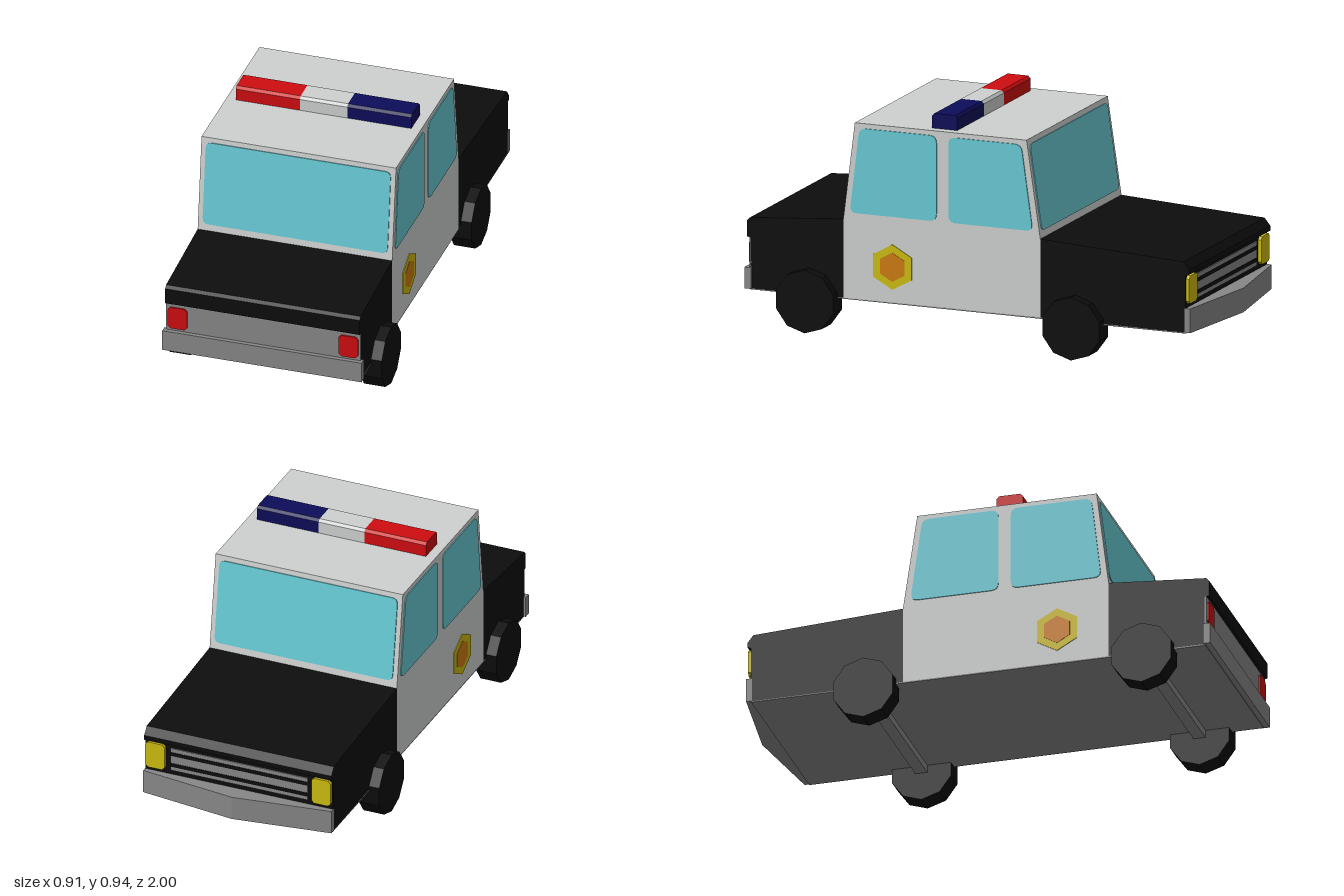
import * as THREE from 'three';

const paint = (name, color) => {
  const m = new THREE.MeshStandardMaterial({ color });
  m.name = name;
  return m;
};

// Closed polygon whose corners are cut back by r and rounded
function roundedPoly(points, r = 0) {
  const shape = new THREE.Shape();
  const pts = points.map(([a, b]) => new THREE.Vector2(a, b));
  pts.forEach((p, i) => {
    const prev = pts[(i + pts.length - 1) % pts.length];
    const next = pts[(i + 1) % pts.length];
    const a = p.clone().add(prev.clone().sub(p).setLength(r));
    const b = p.clone().add(next.clone().sub(p).setLength(r));
    if (i === 0) shape.moveTo(a.x, a.y); else shape.lineTo(a.x, a.y);
    if (r > 0) shape.quadraticCurveTo(p.x, p.y, b.x, b.y);
  });
  shape.closePath();
  return shape;
}

const rect = (w, h) => [[-w / 2, -h / 2], [w / 2, -h / 2], [w / 2, h / 2], [-w / 2, h / 2]];

// Slab facing z, centred on its thickness
function plate(points, depth, r = 0, curveSegments = 4) {
  const g = new THREE.ExtrudeGeometry(roundedPoly(points, r), { depth, bevelEnabled: false, curveSegments });
  return g.translate(0, 0, -depth / 2);
}

// Slab from a side profile of [z, y] points, extruded across x
const sideSlab = (points, width, r = 0) => plate(points, width, r).rotateY(-Math.PI / 2);

export function createModel() {
  const car = new THREE.Group();
  car.name = 'patrolCar';

  const white = paint('whitePaint', 0xcfd1d1);
  const black = paint('blackPaint', 0x0d0d0d);
  const grey = paint('greyMetal', 0x888888);
  const glass = paint('cyanGlass', 0x68cbd5);
  const red = paint('redLamp', 0xd00d10);
  const blue = paint('blueLamp', 0x0d0d5a);
  const yellow = paint('yellow', 0xcdbc10);
  const orange = paint('orange', 0xcd7c10);

  const add = (name, geometry, material, x = 0, y = 0, z = 0) => {
    const mesh = new THREE.Mesh(geometry, material);
    mesh.name = name;
    mesh.position.set(x, y, z);
    car.add(mesh);
    return mesh;
  };
  const box = (name, material, w, h, d, x, y, z) =>
    add(name, new THREE.BoxGeometry(w, h, d), material, x, y, z);

  // Body: white cabin between two black ends, each with an overhanging lip
  const W = 0.82;
  add('cabin', sideSlab([[0.57, 0.145], [0.57, 0.47], [0.52, 0.872], [-0.23, 0.872], [-0.29, 0.47], [-0.29, 0.145]], W), white);
  add('frontDeck', sideSlab([[0.57, 0.145], [0.975, 0.145], [0.975, 0.355], [0.99, 0.358],
    [0.99, 0.425], [0.978, 0.437], [0.57, 0.47]], W), black);
  add('rearDeck', sideSlab([[-0.29, 0.145], [-0.29, 0.47], [-0.915, 0.436], [-0.94, 0.405],
    [-0.94, 0.385], [-0.925, 0.38], [-0.925, 0.145]], W), black);
  box('underside', grey, W, 0.006, 1.9, 0, 0.144, 0.025);

  // Front end: grey panel with red corner lamps
  box('frontPanel', grey, W, 0.21, 0.008, 0, 0.25, 0.976);
  // Rear end: slatted grille with yellow corner lamps
  box('grille', grey, 0.6, 0.1, 0.008, 0, 0.315, -0.926);
  for (const y of [0.29, 0.34]) box('grilleSlat', black, 0.6, 0.016, 0.006, 0, y, -0.929);
  for (const s of [-1, 1]) {
    add('redCornerLamp', plate(rect(0.082, 0.096), 0.009, 0.012, 1), red, s * 0.36, 0.292, 0.982);
    add('yellowCornerLamp', plate(rect(0.085, 0.115), 0.016, 0.012, 1), yellow, s * 0.364, 0.32, -0.931);
  }

  // Bumpers: a straight one in front, a pointed one behind
  box('frontBumper', grey, 0.84, 0.088, 0.03, 0, 0.189, 0.983);
  const pointed = plate([[-0.412, 0.92], [0.412, 0.92], [0.412, 0.945], [0, 1], [-0.412, 0.945]], 0.1);
  add('rearBumper', pointed.rotateX(-Math.PI / 2), grey, 0, 0.195, 0);

  // Windscreens lying on the sloped ends of the cabin
  const screen = plate(rect(0.78, 0.355), 0.008, 0.025);
  add('frontWindscreen', screen, glass, 0, 0.675, 0.5447).rotation.x = -Math.atan(0.05 / 0.402);
  add('rearWindscreen', screen, glass, 0, 0.675, -0.2596).rotation.x = Math.atan(0.06 / 0.402);

  // Side windows and hexagonal badges
  const windowA = sideSlab([[0.162, 0.5], [0.54, 0.5], [0.499, 0.852], [0.162, 0.852]], 0.008, 0.03);
  const windowB = sideSlab([[0.11, 0.5], [0.11, 0.852], [-0.208, 0.852], [-0.258, 0.5]], 0.008, 0.03);
  const hexagon = (radius, depth) => sideSlab(Array.from({ length: 6 }, (_, i) => {
    const a = Math.PI / 2 + i * Math.PI / 3;
    return [Math.cos(a) * radius * 1.04, Math.sin(a) * radius];
  }), depth);
  for (const s of [-1, 1]) {
    add('frontSideWindow', windowA, glass, s * 0.41);
    add('rearSideWindow', windowB, glass, s * 0.41);
    add('badgeRim', hexagon(0.093, 0.006), yellow, s * 0.41, 0.292, 0.355);
    add('badgeCentre', hexagon(0.06, 0.009), orange, s * 0.41, 0.292, 0.355);
  }

  // Roof light bar in three sections with chamfered top edges
  const barSection = (name, material, x0, x1) => add(name, sideSlab([[0.09, 0.87], [0.2, 0.87],
    [0.2, 0.922], [0.19, 0.933], [0.1, 0.933], [0.09, 0.922]], x1 - x0), material, (x0 + x1) / 2);
  barSection('redBeacon', red, -0.37, -0.1);
  barSection('beaconCentre', white, -0.1, 0.1);
  barSection('blueBeacon', blue, 0.1, 0.37);

  // Ten-sided wheels joined by axles
  const wheel = new THREE.CylinderGeometry(0.13, 0.13, 0.09, 10).toNonIndexed();
  wheel.computeVertexNormals();
  wheel.rotateZ(Math.PI / 2).rotateX(Math.PI / 2);
  for (const z of [0.72, -0.443]) {
    box('axle', grey, 0.74, 0.05, 0.05, 0, 0.135, z);
    for (const s of [-1, 1]) add('wheel', wheel, black, s * 0.41, 0.1237, z);
  }

  return car;
}
